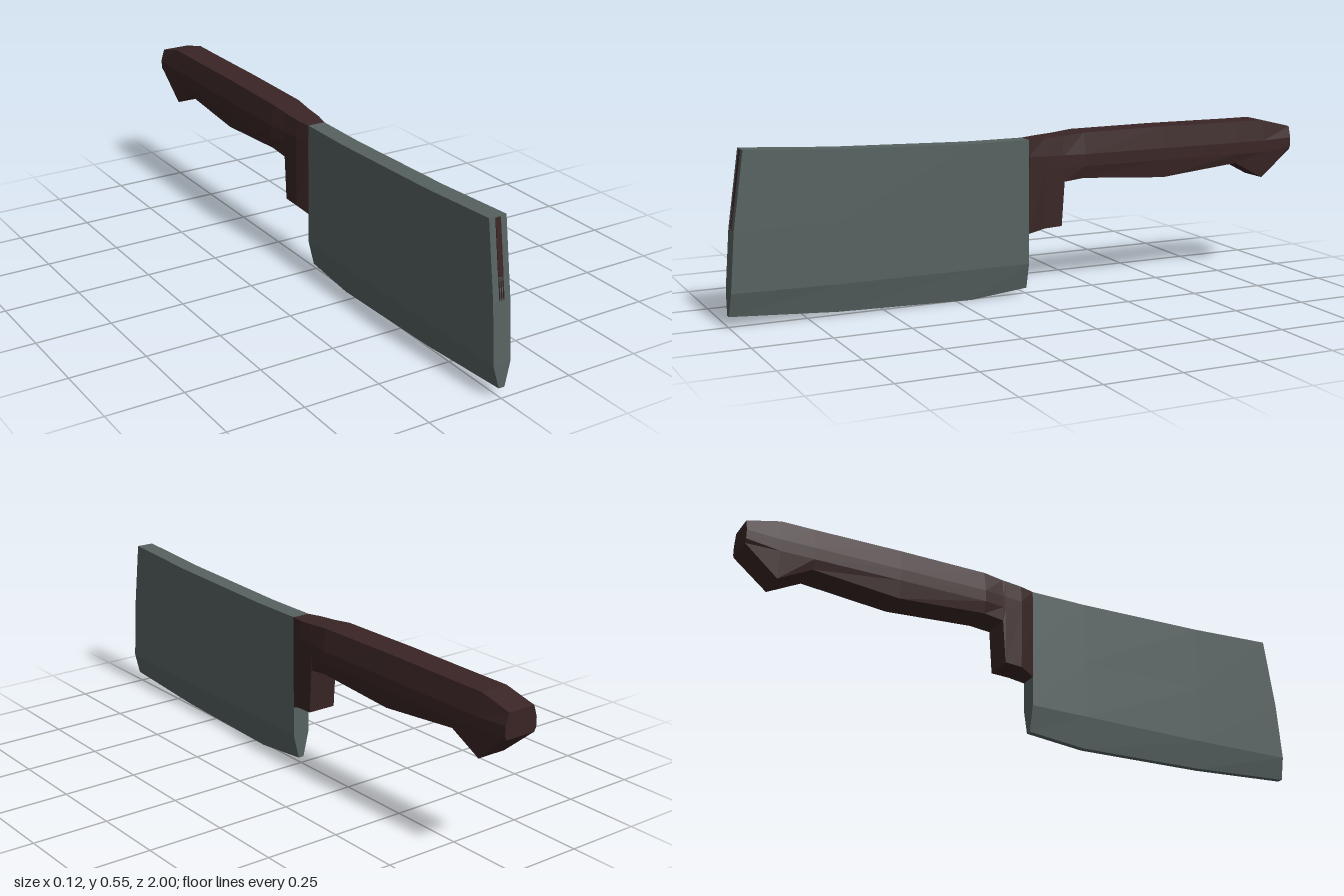
import * as THREE from 'three';

// Mirrored ring: [halfWidth, y, z] points from bottom to top, then back down the other side
const ring = (pts) => [...pts, ...pts.slice().reverse().map(([x, y, z]) => [-x, y, z])];

// Skin rings ordered front to back, closing both ends, with flat facets
function loft(sections) {
  const rings = sections.map(ring);
  const n = rings[0].length;
  const pos = [];
  const quad = (a, b, c, d) => pos.push(...a, ...b, ...c, ...a, ...c, ...d);
  for (let s = 0; s < rings.length - 1; s++) {
    const a = rings[s], b = rings[s + 1];
    for (let i = 0; i < n; i++) {
      const j = (i + 1) % n;
      quad(a[i], b[i], b[j], a[j]);
    }
  }
  const f = rings[0], r = rings[rings.length - 1];
  for (let i = 0; i < n / 2 - 1; i++) {
    quad(f[i], f[i + 1], f[n - 2 - i], f[n - 1 - i]);
    quad(r[n - 1 - i], r[n - 2 - i], r[i + 1], r[i]);
  }
  const g = new THREE.BufferGeometry();
  g.setAttribute('position', new THREE.Float32BufferAttribute(pos, 3));
  g.computeVertexNormals();
  return g;
}

export function createModel() {
  const group = new THREE.Group();
  const steel = new THREE.MeshStandardMaterial({ color: 0x566260 });
  steel.name = 'steel';
  const wood = new THREE.MeshStandardMaterial({ color: 0x3a2525 });
  wood.name = 'dark wood';
  const add = (name, geometry, material) => {
    const mesh = new THREE.Mesh(geometry, material);
    mesh.name = name;
    group.add(mesh);
  };

  // Blade: curved nose, then straight columns of [z, edge y, spine y]
  const T = 0.03, E = 0.01;
  const nose = [[E, 0.035, 1], [T, 0.11, 0.996], [T, 0.3, 0.981], [T, 0.545, 0.945]];
  const columns = [[0.65, 0.012, 0.528], [0.2, 0, 0.515], [0, 0.02, 0.515]];
  add('blade', loft([nose, ...columns.map(([z, lo, hi]) =>
    [[E, lo, z], [T, 0.105, z], [T, 0.3, z], [T, hi, z]])]), steel);

  // Handle with bolster and pommel: [z, bottom, low ridge, high ridge, top, bottom/ridge/top half widths]
  const handle = [
    [0, 0.205, 0.42, 0.46, 0.515, 0.03, 0.031, 0.03],
    [-0.05, 0.222, 0.42, 0.46, 0.518, 0.047, 0.047, 0.04],
    [-0.11, 0.225, 0.42, 0.46, 0.522, 0.049, 0.05, 0.043],
    [-0.12, 0.372, 0.42, 0.46, 0.523, 0.049, 0.051, 0.043],
    [-0.19, 0.38, 0.42, 0.46, 0.53, 0.052, 0.061, 0.048],
    [-0.49, 0.36, 0.42, 0.46, 0.532, 0.052, 0.061, 0.048],
    [-0.78, 0.388, 0.42, 0.46, 0.53, 0.052, 0.061, 0.048],
    [-0.89, 0.33, 0.42, 0.46, 0.53, 0.05, 0.061, 0.048],
    [-1, 0.422, 0.435, 0.465, 0.503, 0.053, 0.06, 0.048],
  ];
  add('handle', loft(handle.map(([z, b, lo, hi, t, wb, wm, wt]) =>
    [[wb, b, z], [wm, lo, z], [wm, hi, z], [wt, t, z]])), wood);

  // Dark stripe on the blade nose, ending in three thin tines
  const noseZ = (y) => 0.981 - (y - 0.3) * (0.036 / 0.245);
  const stripe = (name, x, w, y0, y1) => {
    const g = new THREE.BoxGeometry(w, y1 - y0, 0.004);
    g.rotateX(-Math.atan(0.036 / 0.245));
    g.translate(x, (y0 + y1) / 2, noseZ((y0 + y1) / 2));
    add(name, g, wood);
  };
  stripe('noseStripe', 0, 0.018, 0.37, 0.543);
  for (const x of [-0.007, 0, 0.007]) stripe('noseTine', x, 0.003, 0.302, 0.37);

  return group;
}
